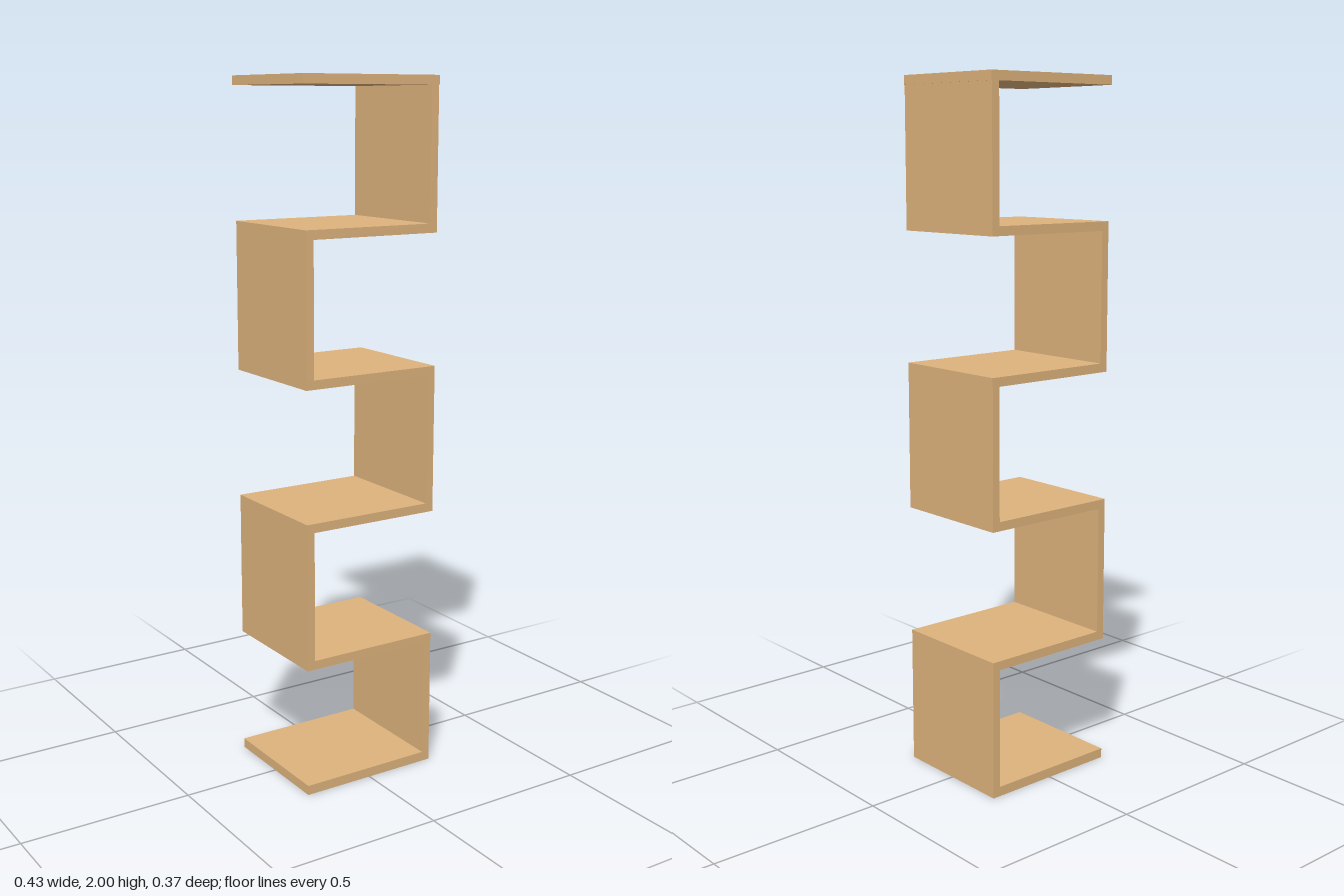
import * as THREE from 'three';

export function createModel() {
  const group = new THREE.Group();
  const material = new THREE.MeshStandardMaterial({ color: 0xddb27c });
  const depth = 0.372, board = 0.026, upright = 0.024;
  const left = -0.211, right = 0.215;

  // A board given by its front-view extents
  function addBoard(name, x0, x1, y0, y1) {
    const mesh = new THREE.Mesh(new THREE.BoxGeometry(x1 - x0, y1 - y0, depth), material);
    mesh.position.set((x0 + x1) / 2, (y0 + y1) / 2, 0);
    mesh.name = name;
    group.add(mesh);
  }

  // Top faces of the shelves, from the base up
  const tops = [0.028, 0.403, 0.803, 1.203, 1.603, 2];
  tops.forEach((top, i) => {
    const isTop = i === tops.length - 1;
    const bottom = i === 0 ? 0 : top - board;
    addBoard(`shelf${i + 1}`, isTop ? -0.217 : left, isTop ? 0.217 : right, bottom, top);

    // Uprights join neighbouring shelves on alternating sides
    if (isTop) return;
    const ceiling = tops[i + 1] - board;
    if (i % 2 === 0) addBoard(`upright${i + 1}`, right - upright, right, top, ceiling);
    else addBoard(`upright${i + 1}`, left, left + upright, top, ceiling);
  });

  return group;
}
